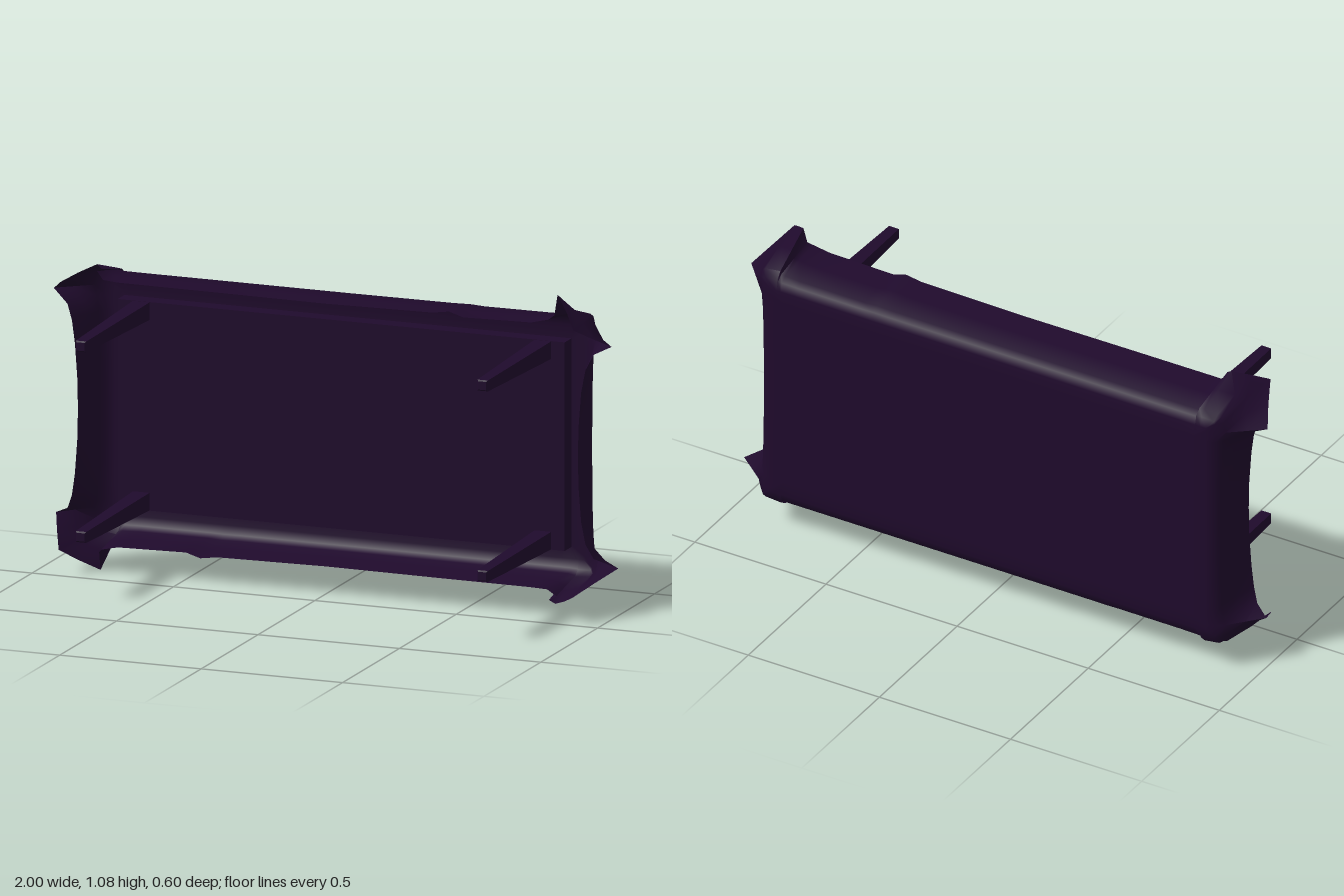
import * as THREE from 'three';
import { toCreasedNormals } from 'three/addons/utils/BufferGeometryUtils.js';

const CENTER_Y = 0.54;
const BACK_Z = -0.302;
const material = new THREE.MeshStandardMaterial({ color: 0x1f0a2c, side: THREE.DoubleSide });

// Hem points for a quarter of the cloth, from the middle of the long side
// round the flared corner to the middle of the short side: [x, y - CENTER_Y, z]
const shortSide = [
  [0.93, 0.345, -0.138], [0.908, 0.295, -0.122], [0.895, 0.22, -0.116], [0.886, 0.1, -0.115],
];
const quarterA = [
  [0, 0.444, -0.086], [0.38, 0.449, -0.086], [0.44, 0.458, -0.086], [0.49, 0.443, -0.086],
  [0.73, 0.448, -0.086], [0.79, 0.462, -0.092], [0.805, 0.475, -0.105],
  [0.808, 0.54, -0.125], [0.865, 0.497, -0.065], [0.91, 0.455, -0.01],
  [0.948, 0.41, -0.09], [0.982, 0.37, -0.167],
  ...shortSide,
];
const quarterB = [
  [0.4, 0.446, -0.086], [0.73, 0.447, -0.086], [0.785, 0.45, -0.09], [0.812, 0.474, -0.105],
  [0.79, 0.486, -0.093], [0.81, 0.499, -0.1], [0.86, 0.476, -0.055], [0.905, 0.45, -0.01],
  [0.95, 0.416, -0.1], [0.998, 0.382, -0.186],
  ...shortSide,
];

// Two quarters make a half; turning the half by 180 degrees closes the loop
function hemLoop() {
  const half = [
    ...quarterA,
    [0.884, 0, -0.115],
    ...quarterB.map(([x, y, z]) => [x, -y, z]).reverse(),
  ];
  return [...half, ...half.map(([x, y, z]) => [-x, -y, z])];
}

const lerp = THREE.MathUtils.lerp;

// Loop of cloth behind the hem, pulled in to a rectangle except for a share of the flare
function insetLoop(hem, hx, hy, z, flare) {
  const hold = (v, limit) => lerp(THREE.MathUtils.clamp(v, -limit, limit), v, flare);
  return hem.map(([x, y]) => [hold(x, hx), hold(y, hy), z]);
}

function clothGeometry() {
  const hem = hemLoop();
  const n = hem.length;
  const shoulder = insetLoop(hem, 0.868, 0.436, -0.273, 0.18);
  const loops = [
    insetLoop(hem, 0.78, 0.345, BACK_Z, 0),
    insetLoop(hem, 0.83, 0.395, BACK_Z, 0),
    insetLoop(hem, 0.853, 0.422, -0.294, 0.08),
    shoulder,
    hem.map((p, i) => p.map((v, k) => lerp(shoulder[i][k], v, 0.5))),
    hem,
  ];

  const positions = [0, CENTER_Y, BACK_Z];
  for (const loop of loops) for (const [x, y, z] of loop) positions.push(x, y + CENTER_Y, z);

  const index = [];
  const at = (r, i) => 1 + r * n + (i % n);
  for (let i = 0; i < n; i++) {
    index.push(0, at(0, i), at(0, i + 1));
    for (let r = 0; r < loops.length - 1; r++) {
      index.push(at(r, i), at(r + 1, i), at(r + 1, i + 1));
      index.push(at(r, i), at(r + 1, i + 1), at(r, i + 1));
    }
  }
  const geometry = new THREE.BufferGeometry();
  geometry.setAttribute('position', new THREE.Float32BufferAttribute(positions, 3));
  geometry.setIndex(index);
  return toCreasedNormals(geometry, 1.1);
}

// Tapered square leg with a bevelled foot, running along z
function legGeometry(from, to) {
  const profile = [[0, from], [0.03, from], [0.0185, to - 0.005], [0.014, to], [0, to]];
  const points = profile.map(([halfWidth, y]) => new THREE.Vector2(halfWidth * Math.SQRT2, y));
  const leg = new THREE.LatheGeometry(points, 4)
    .rotateY(Math.PI / 4)
    .rotateX(Math.PI / 2)
    .toNonIndexed();
  leg.computeVertexNormals();
  return leg;
}

export function createModel() {
  const model = new THREE.Group();
  model.name = 'drapedTable';

  const add = (name, geometry, x, y, z) => {
    const mesh = new THREE.Mesh(geometry, material);
    mesh.name = name;
    mesh.position.set(x, y, z);
    model.add(mesh);
  };

  // Cloth draped over the table, with flared corners
  add('tablecloth', clothGeometry(), 0, 0, 0);

  // Board under the cloth
  add('tabletop', new THREE.BoxGeometry(1.58, 0.705, 0.06), 0, CENTER_Y, -0.262);

  // Legs pointing forward
  const leg = legGeometry(-0.25, 0.302);
  for (const sx of [-1, 1]) {
    for (const sy of [-1, 1]) {
      const name = (sy > 0 ? 'upper' : 'lower') + (sx > 0 ? 'Left' : 'Right') + 'Leg';
      add(name, leg, 0.003 + sx * 0.71, CENTER_Y + sy * 0.322, 0);
    }
  }
  return model;
}
